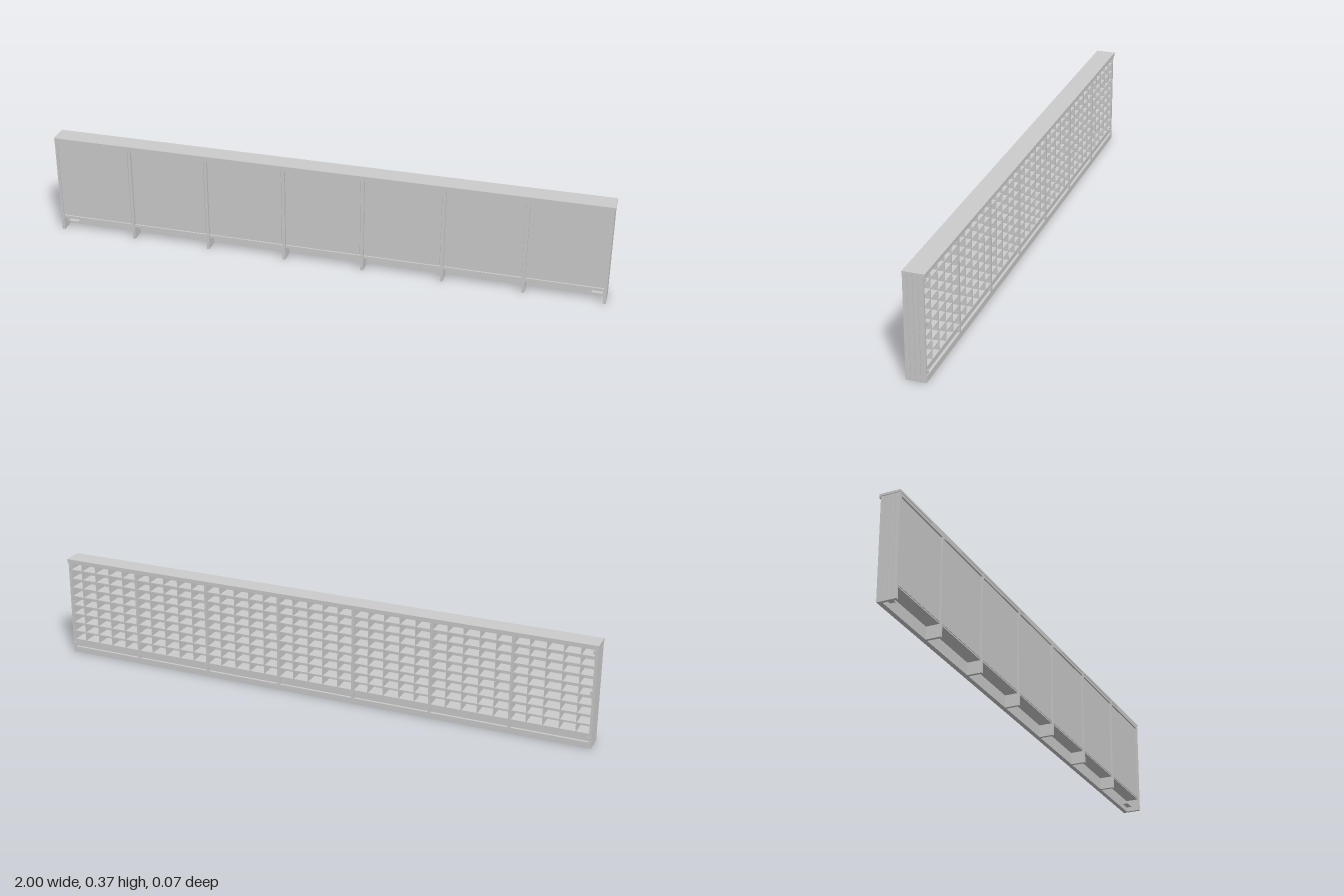
import * as THREE from 'three';

const BAYS = 7, COLS = 5, ROWS = 9;
const PITCH = 2 / BAYS;
const FLOOR = 0.05, TOP = 0.363;

export function createModel() {
  const root = new THREE.Group();
  const mat = new THREE.MeshStandardMaterial({ color: 0xcccccc });

  // box given by its minimum and maximum corners
  function box(name, x0, x1, y0, y1, z0, z1, parent = root) {
    const mesh = new THREE.Mesh(new THREE.BoxGeometry(x1 - x0, y1 - y0, z1 - z0), mat);
    mesh.position.set((x0 + x1) / 2, (y0 + y1) / 2, (z0 + z1) / 2);
    mesh.name = name;
    parent.add(mesh);
    return mesh;
  }

  // lid with a lip hanging over the back edge
  box('lid', -1, 1, TOP, 0.371, -0.036, 0.037);
  box('lidBackLip', -1, 1, 0.358, TOP, -0.036, -0.032);
  box('topFrontRail', -0.99, 0.99, 0.352, TOP, 0.024, 0.036);

  // end walls made of upright boards with narrow grooves between them
  const seams = [-0.031, -0.0135, 0.0045, 0.0205, 0.037];
  for (const s of [-1, 1]) {
    const end = new THREE.Group();
    end.name = s > 0 ? 'leftEnd' : 'rightEnd';
    root.add(end);
    const span = (a, b) => [Math.min(s * a, s * b), Math.max(s * a, s * b)];
    box('endCore', ...span(0.988, 0.994), 0, TOP, -0.03, 0.036, end);
    for (let i = 0; i < 4; i++) {
      box('endBoard', ...span(0.993, 0.998), 0, TOP, seams[i] + (i ? 0.0007 : 0), seams[i + 1] - (i < 3 ? 0.0007 : 0), end);
    }
    // corner bracket in the toe space
    box('bracketPlate', ...span(0.945, 0.988), 0.018, 0.021, -0.014, 0.005, end);
    box('bracketUpright', ...span(0.984, 0.988), 0.018, 0.042, -0.014, 0.005, end);
    // small catches on the back edge
    for (const y of [0.035, 0.2, 0.345]) {
      box('backCatch', ...span(0.982, 0.992), y - 0.007, y + 0.007, -0.0325, -0.03, end);
    }
  }

  // toe plate, floor and back base rail
  box('toePlate', -0.99, 0.99, 0, FLOOR, -0.022, -0.015);
  box('floor', -0.99, 0.99, FLOOR - 0.005, FLOOR + 0.003, -0.03, 0.032);
  box('backBaseRail', -0.99, 0.99, 0, 0.022, -0.031, -0.022);
  box('bottomFrontRail', -0.99, 0.99, FLOOR, 0.057, 0.024, 0.034);

  // dividers run down to the ground as feet
  for (let i = 1; i < BAYS; i++) {
    const x = -1 + i * PITCH;
    box('divider', x - 0.005, x + 0.005, 0, TOP, -0.031, 0.037);
  }

  // front panels, each inside a shadow gap
  for (let i = 0; i < BAYS; i++) {
    const x0 = -1 + i * PITCH, x1 = x0 + PITCH;
    box('frontPanelBacking', x0 + 0.004, x1 - 0.004, FLOOR, TOP, 0.024, 0.027);
    box('frontPanel', x0 + 0.009, x1 - 0.009, 0.059, 0.35, 0.026, 0.032);
  }

  // egg-crate lattice open to the back
  const lattice = new THREE.Group();
  lattice.name = 'lattice';
  root.add(lattice);
  for (let r = 1; r < ROWS; r++) {
    const y = FLOOR + (TOP - FLOOR) * r / ROWS;
    box('latticeShelf', -0.99, 0.99, y - 0.0015, y + 0.0015, -0.029, 0.025, lattice);
  }
  for (let i = 0; i < BAYS; i++) {
    for (let c = 1; c < COLS; c++) {
      const x = -1 + (i + c / COLS) * PITCH;
      box('latticeUpright', x - 0.0015, x + 0.0015, FLOOR, TOP, -0.0295, 0.025, lattice);
    }
  }
  return root;
}
